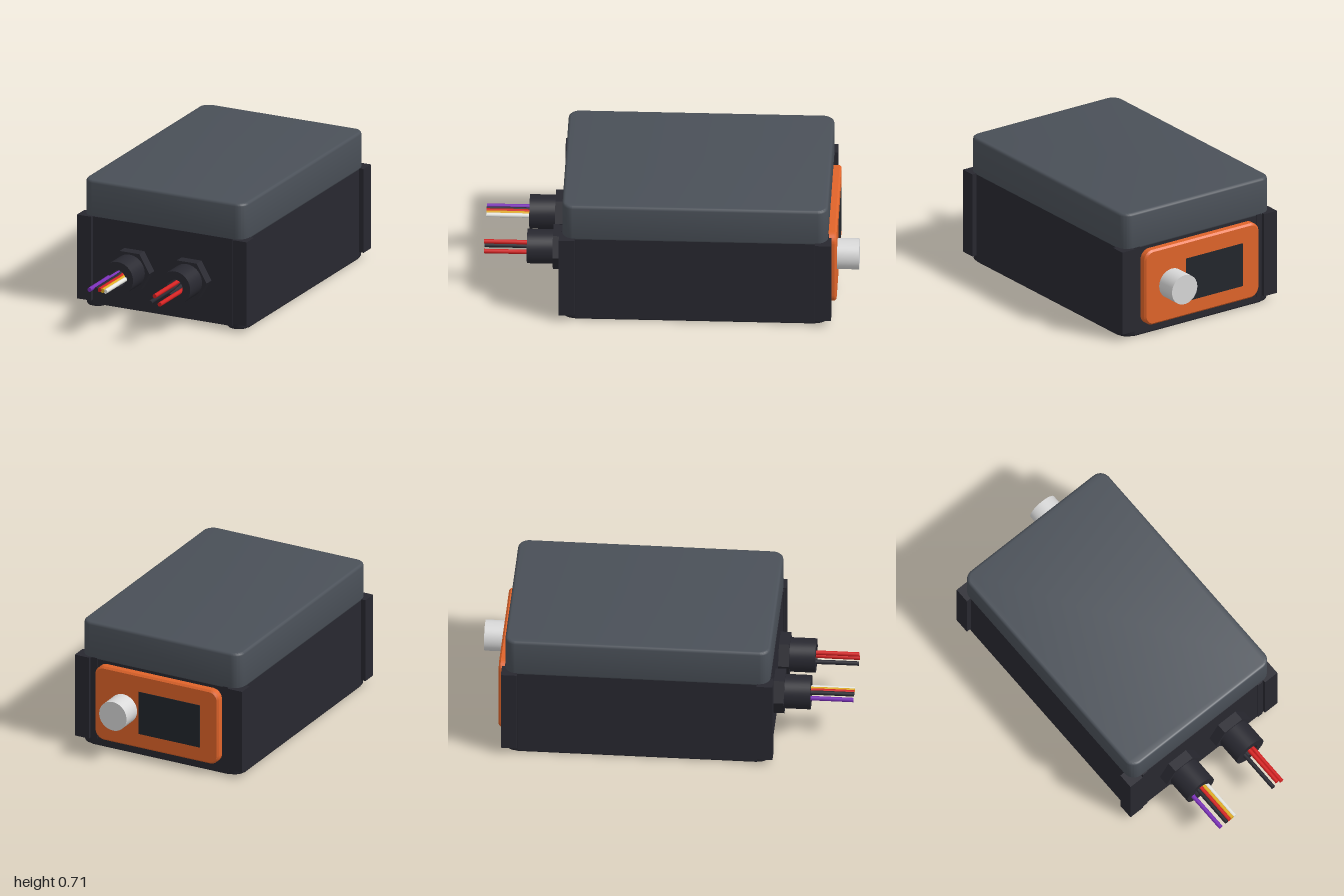
import * as THREE from 'three';
import { toCreasedNormals } from 'three/addons/utils/BufferGeometryUtils.js';
import { RoundedBoxGeometry } from 'three/addons/geometries/RoundedBoxGeometry.js';

const mat = (name, color) => {
  const m = new THREE.MeshStandardMaterial({ color });
  m.name = name;
  return m;
};

// Rounded rectangle from opposite corners
function roundRect(x0, y0, x1, y1, r) {
  const s = new THREE.Shape();
  s.absarc(x1 - r, y0 + r, r, -Math.PI / 2, 0);
  s.absarc(x1 - r, y1 - r, r, 0, Math.PI / 2);
  s.absarc(x0 + r, y1 - r, r, Math.PI / 2, Math.PI);
  s.absarc(x0 + r, y0 + r, r, Math.PI, Math.PI * 1.5);
  s.closePath();
  return s;
}

// Extruded shape filling 0..depth, with its bevel kept inside the outline
function slab(shape, depth, bevel = 0, segments = 3) {
  const g = new THREE.ExtrudeGeometry(shape, {
    depth: depth - 2 * bevel, bevelEnabled: bevel > 0, bevelThickness: bevel,
    bevelSize: bevel, bevelOffset: -bevel, bevelSegments: segments, curveSegments: 8,
  });
  g.translate(0, 0, bevel);
  return toCreasedNormals(g, 0.6);
}

// Turned part around y from [radius, height] pairs
function turned(points, sides) {
  const g = new THREE.LatheGeometry(points.map(([r, h]) => new THREE.Vector2(r, h)), sides);
  return toCreasedNormals(g.toNonIndexed(), 0.9);
}

const circleHole = (x, y, r) => new THREE.Path().absarc(x, y, r, 0, Math.PI * 2, true);

export function createModel() {
  const group = new THREE.Group();
  const M = {
    lid: mat('slate lid', 0x4a5058),
    body: mat('charcoal body', 0x282830),
    orange: mat('orange panel', 0xe0642a),
    knob: mat('light grey knob', 0xd8d8d8),
    label: mat('label white', 0xe8eae6),
    screen: mat('dark screen', 0x22262c),
    red: mat('red wire', 0xd42020),
    purple: mat('purple wire', 0x7a2eb8),
    yellow: mat('yellow wire', 0xe0ac20),
    white: mat('white wire', 0xeeeee8),
  };
  const add = (name, geo, material, x = 0, y = 0, z = 0) => {
    const m = new THREE.Mesh(geo, material);
    m.name = name;
    m.position.set(x, y, z);
    group.add(m);
    return m;
  };
  // Box between limits, with optional edge radius
  const box = (name, material, x0, x1, y0, y1, z0, z1, r = 0) => {
    const size = [x1 - x0, y1 - y0, z1 - z0];
    add(name, r ? new RoundedBoxGeometry(...size, 2, r) : new THREE.BoxGeometry(...size),
      material, (x0 + x1) / 2, (y0 + y1) / 2, (z0 + z1) / 2);
  };

  // Lid
  add('lid', slab(roundRect(-0.482, -0.573, 0.482, 0.842, 0.06), 0.213, 0.015).rotateX(-Math.PI / 2),
    M.lid, 0, 0.497, 0);

  // Back wall and recessed floor
  box('backWall', M.body, -0.422, 0.422, 0, 0.53, -0.84, -0.81, 0.012);
  box('floor', M.body, -0.46, 0.46, 0.022, 0.04, -0.82, 0.535);

  // Front panel with cable openings
  const front = new THREE.Shape([[-0.42, 0.022], [0.42, 0.022], [0.42, 0.51], [-0.42, 0.51]]
    .map(([x, y]) => new THREE.Vector2(x, y)));
  for (const x of [-0.17, 0.17]) front.holes.push(circleHole(x, 0.2585, 0.07));
  add('frontPanel', slab(front, 0.025), M.body, 0, 0, 0.55);

  // Side walls, rounded corners, corner posts and the rails beside them
  const cornerProfile = [[0, 0.003], [0.048, 0.003], [0.055, 0.006], [0.059, 0.014], [0.059, 0.53]];
  for (const s of [-1, 1]) {
    const span = (a, b) => (s > 0 ? [a, b] : [-b, -a]);
    box('sideWall', M.body, ...span(0.45, 0.48), 0, 0.53, -0.782, 0.513, 0.012);
    for (const z of [-0.781, 0.513]) add('corner', turned(cornerProfile, 32), M.body, s * 0.421, 0, z);
    box('frontPost', M.body, ...span(0.422, 0.507), 0.04, 0.511, 0.505, 0.59);
    box('backPost', M.body, ...span(0.422, 0.507), 0.04, 0.511, -0.86, -0.775);
    box('frontRail', M.body, ...span(0.382, 0.414), 0.022, 0.511, 0.56, 0.58);
    box('backRail', M.body, ...span(0.382, 0.414), 0.04, 0.511, -0.845, -0.83);
  }

  // Back control panel, screen and knob
  add('controlPanel', slab(roundRect(-0.375, 0.06, 0.375, 0.488, 0.055), 0.085, 0.01, 1),
    M.orange, 0, 0, -0.883);
  box('screen', M.screen, -0.264, 0.108, 0.145, 0.39, -0.886, -0.88);
  add('knob', new THREE.CylinderGeometry(0.083, 0.083, 0.13, 40).rotateX(Math.PI / 2),
    M.knob, 0.2, 0.272, -0.935);

  // Cable glands: hexagonal nut and hollow sleeve
  const hex = new THREE.Shape(Array.from({ length: 6 }, (_, i) =>
    new THREE.Vector2(0.119 * Math.cos(i * Math.PI / 3), 0.119 * Math.sin(i * Math.PI / 3))));
  hex.holes.push(circleHole(0, 0, 0.07));
  const sleeve = [[0.047, 0], [0.092, 0], [0.092, 0.23], [0.047, 0.23], [0.047, 0]];
  for (const x of [-0.172, 0.17]) {
    add('glandNut', slab(hex, 0.06), M.body, x, 0.2585, 0.572);
    add('glandSleeve', turned(sleeve, 36).rotateX(Math.PI / 2), M.body, x, 0.2585, 0.54);
  }

  // Wires: [material, outer x, outer y, inner x, inner y]
  const wires = [
    [M.purple, -0.223, 0.256, -0.204, 0.252],
    [M.body, -0.182, 0.264, -0.18, 0.288],
    [M.red, -0.163, 0.264, -0.163, 0.288],
    [M.yellow, -0.145, 0.262, -0.147, 0.282],
    [M.white, -0.127, 0.26, -0.138, 0.262],
    [M.body, 0.14, 0.24, 0.145, 0.265],
    [M.red, 0.167, 0.28, 0.167, 0.294],
    [M.red, 0.197, 0.238, 0.165, 0.222],
  ];
  for (const [material, x, y, ix, iy] of wires) {
    const path = new THREE.CatmullRomCurve3([
      new THREE.Vector3(ix, iy, 0.45), new THREE.Vector3(ix, iy, 0.6),
      new THREE.Vector3(x, y, 0.74), new THREE.Vector3(x, y, 0.84), new THREE.Vector3(x, y, 1)]);
    add('wire', new THREE.TubeGeometry(path, 20, 0.012, 12), material);
    add('wireEnd', new THREE.CircleGeometry(0.012, 12), material, x, y, 1);
  }

  // Underside label, screws and corner feet
  box('label', M.label, -0.385, -0.025, 0.019, 0.027, -0.355, 0.335);
  for (const s of [-1, 1]) {
    for (const [x, z, y] of [[0.33, -0.71, 0.019], [0.33, 0.365, 0.019],
      [0.421, -0.781, 0.001], [0.421, 0.513, 0.001]]) {
      add('screw', new THREE.CylinderGeometry(0.036, 0.036, 0.03, 24), M.lid, s * x, y + 0.015, z);
      add('screwSocket', new THREE.CylinderGeometry(0.018, 0.018, 0.006, 6), M.body, s * x, y + 0.002, z);
    }
  }
  return group;
}
